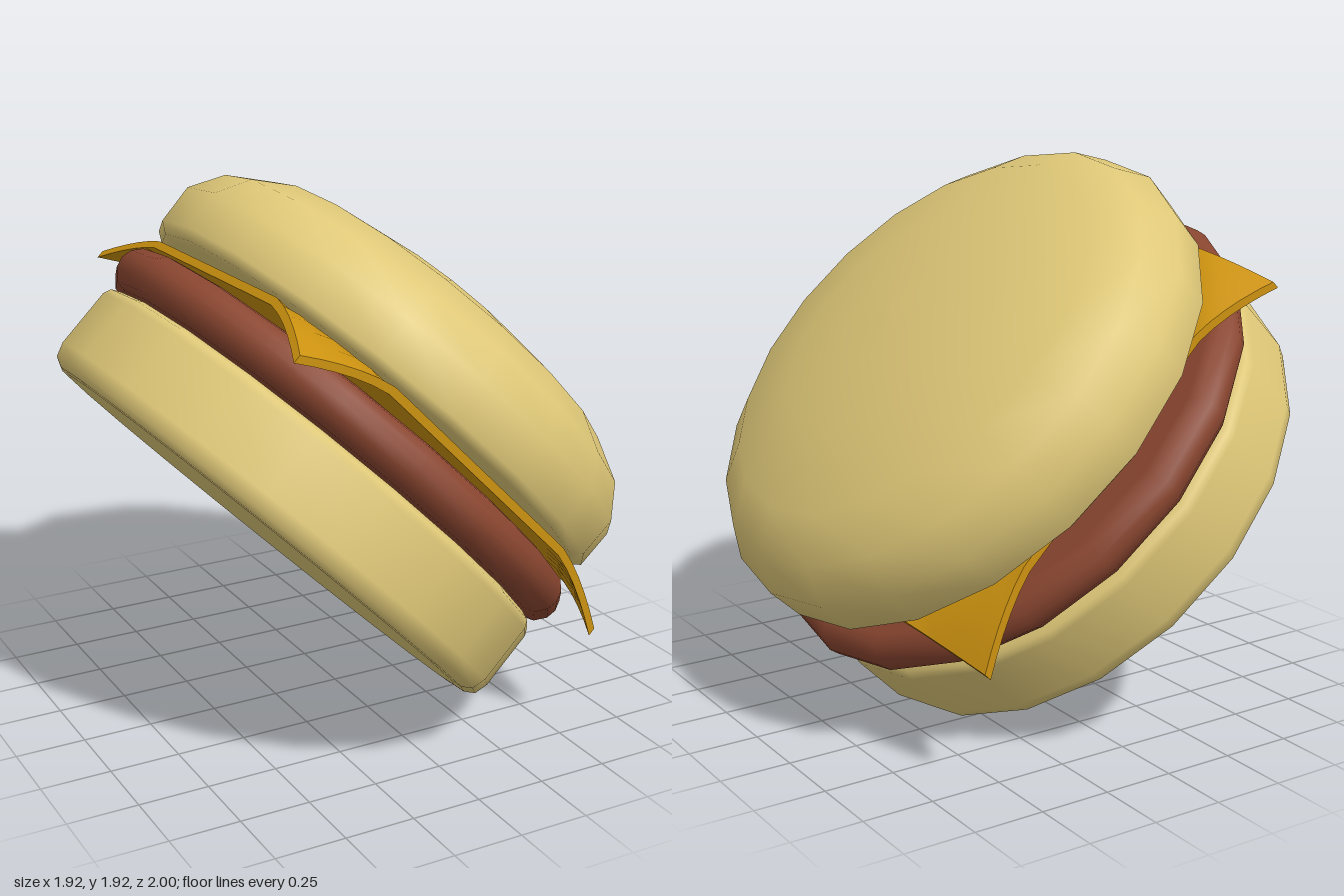
import * as THREE from 'three';
import { toCreasedNormals } from 'three/addons/utils/BufferGeometryUtils.js';

const material = (name, color) => Object.assign(new THREE.MeshStandardMaterial({ color }), { name });

// Round layer turned from a [radius, height] profile, listed bottom to top
function layer(name, profile, mat) {
  const points = profile.map(([r, y]) => new THREE.Vector2(r, y));
  const mesh = new THREE.Mesh(new THREE.LatheGeometry(points, 20), mat);
  mesh.name = name;
  return mesh;
}

// Thin square slice whose corners droop beyond a given radius
function cheeseSlice(mat) {
  const side = 1.61, flatRadius = 0.93, drop = 0.13;
  const geo = new THREE.BoxGeometry(side, 0.03, side, 24, 1, 24);
  const p = geo.attributes.position;
  const span = Math.hypot(side / 2, side / 2) - flatRadius;
  for (let i = 0; i < p.count; i++) {
    const t = Math.max(0, Math.hypot(p.getX(i), p.getZ(i)) - flatRadius) / span;
    p.setY(i, p.getY(i) + 0.822 - drop * Math.pow(t, 1.25));
  }
  const mesh = new THREE.Mesh(toCreasedNormals(geo, Math.PI / 4), mat);
  mesh.name = 'cheeseSlice';
  return mesh;
}

export function createModel() {
  const bun = material('bun', 0xdfc878);
  const meat = material('patty', 0x8a4630);
  const cheese = material('cheese', 0xcc9210);

  const stack = new THREE.Group();
  stack.name = 'burgerStack';
  stack.add(
    layer('bottomBun', [
      [0, 0.257], [0.88, 0.257], [0.92, 0.26], [0.955, 0.28], [0.97, 0.33],
      [0.97, 0.55], [0.958, 0.577], [0.925, 0.592], [0.88, 0.594], [0, 0.594],
    ], bun),
    layer('patty', [
      [0, 0.603], [0.92, 0.603], [0.96, 0.612], [0.992, 0.65], [1, 0.688],
      [0.99, 0.725], [0.962, 0.757], [0.92, 0.767], [0, 0.767],
    ], meat),
    cheeseSlice(cheese),
    layer('topBun', [
      [0, 0.842], [0.89, 0.842], [0.935, 0.846], [0.972, 0.875], [0.978, 1.02],
      [0.905, 1.14], [0.76, 1.233], [0.47, 1.303], [0.2, 1.327], [0, 1.331],
    ], bun),
  );

  // Tip the whole stack over towards the left
  stack.rotation.z = -Math.PI / 4;
  stack.position.set(-0.482, 0.482, 0);

  const model = new THREE.Group();
  model.name = 'burger';
  model.add(stack);
  return model;
}
